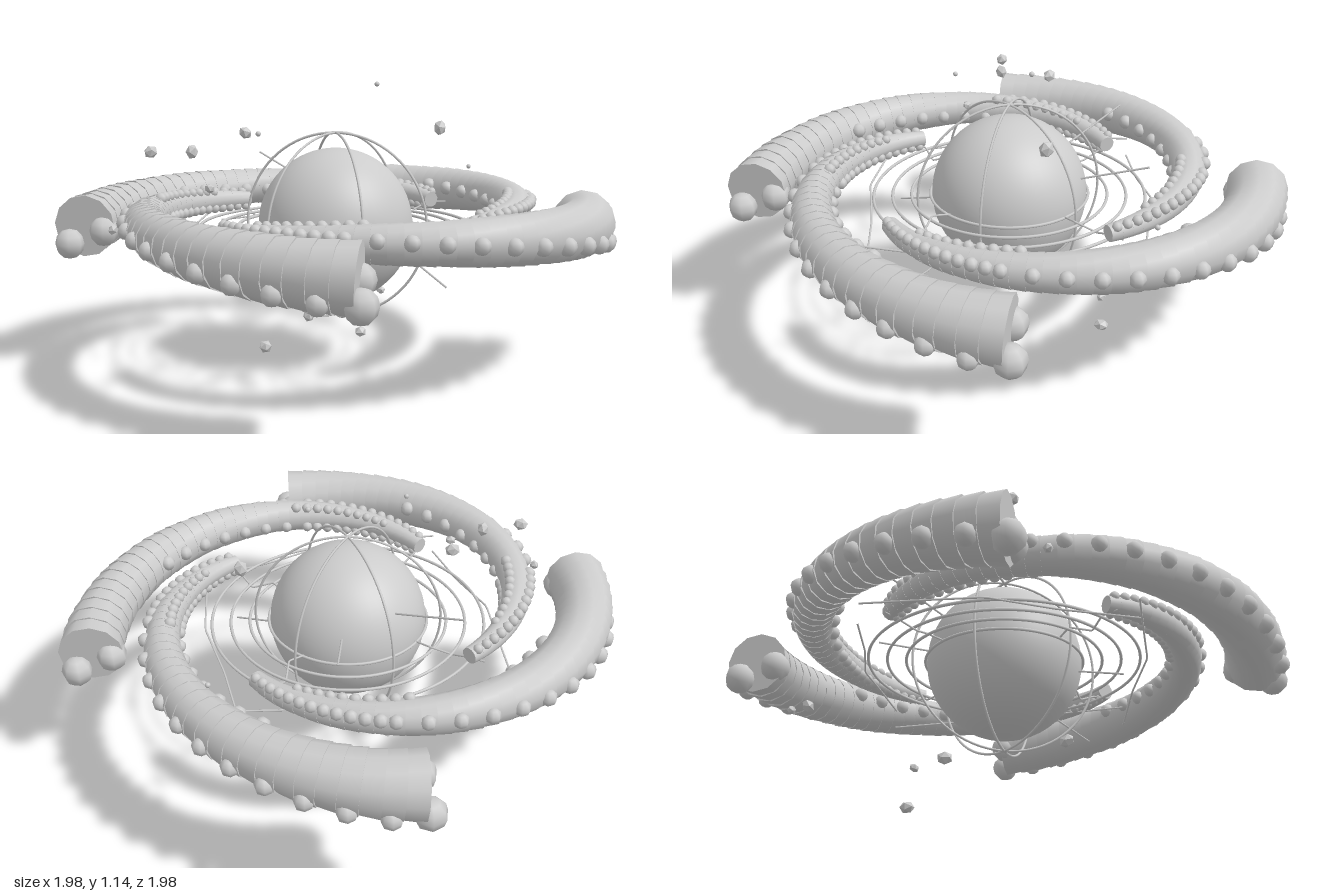
import * as THREE from 'three';

const CY = 0.585, CZ = -0.012; // height and depth of the core
const ARM_SWEEP = 2.36, SEGMENTS = 36;
const mat = new THREE.MeshStandardMaterial({ color: 0xcccccc });
const V = (x, y, z) => new THREE.Vector3(x, y, z);
const UP = V(0, 1, 0);

function add(parent, name, geometry, position) {
  const mesh = new THREE.Mesh(geometry, mat);
  mesh.name = name;
  if (position) mesh.position.copy(position);
  parent.add(mesh);
  return mesh;
}

function group(parent, name) {
  const g = new THREE.Group();
  g.name = name;
  parent.add(g);
  return g;
}

// Straight-sided thin wire through a few points
function wire(parent, name, points, radius = 0.004) {
  const path = new THREE.CurvePath();
  for (let i = 1; i < points.length; i++) path.add(new THREE.LineCurve3(points[i - 1], points[i]));
  add(parent, name, new THREE.TubeGeometry(path, points.length * 6, radius, 5));
}

// Centre line of a spiral arm, t from inner tip to outer end
function armPoint(t) {
  const r = 0.57 + 0.42 * t, a = ARM_SWEEP * t;
  const y = THREE.MathUtils.lerp(0.63, 0.595, t) + 0.035 * Math.sin(Math.PI * t);
  return V(r * Math.cos(a), y, -r * Math.sin(a));
}
const armRadius = (t) => 0.035 + 0.085 * t;

function buildArm() {
  const arm = new THREE.Group();
  arm.name = 'spiralArm';
  const blob = new THREE.SphereGeometry(1, 7, 6);

  for (let i = 0; i < SEGMENTS; i++) {
    const t = i / (SEGMENTS - 1), r = armRadius(t);
    const p = armPoint(t);
    const tangent = armPoint(t + 0.01).sub(armPoint(t - 0.01)).normalize();
    const step = armPoint(t + 0.5 / SEGMENTS).distanceTo(armPoint(t - 0.5 / SEGMENTS));

    // Stacked drum segments, slightly flared
    const drum = add(arm, 'armSegment', new THREE.CylinderGeometry(r * 1.03, r * 0.95, step * 1.3, 12), p);
    drum.quaternion.setFromUnitVectors(UP, tangent);

    // Rows of bumps winding slowly around the arm
    const out = tangent.clone().cross(UP).normalize();
    const bump = (phi, size) => {
      const pos = p.clone().addScaledVector(out, r * 0.95 * Math.cos(phi));
      pos.y += r * 0.95 * Math.sin(phi);
      add(arm, 'armBump', blob, pos).scale.setScalar(size);
    };
    const phi = 1 - 1.7 * t, size = 0.02 + 0.02 * t;
    if (t < 0.35 || i % 2 === 0) {
      bump(phi, size);
      if (t < 0.8) bump(phi + Math.PI, size * 0.9);
    }
    if (t > 0.1 && t < 0.4) bump(2.1, size * 0.85);
  }

  // Two large knobs on the outer end
  const end = armPoint(1), radial = V(end.x, 0, end.z).normalize();
  const along = armPoint(1.01).sub(armPoint(0.99)).normalize();
  for (const [o, y] of [[0.06, -0.07], [-0.075, -0.02]]) {
    const pos = end.clone().addScaledVector(radial, o).addScaledVector(along, 0.045);
    pos.y += y;
    add(arm, 'endKnob', blob, pos).scale.setScalar(0.06);
  }
  return arm;
}

export function createModel() {
  const model = new THREE.Group();
  model.name = 'spiralSystem';

  // Central sphere
  add(model, 'core', new THREE.SphereGeometry(0.308, 48, 32), V(0, CY, CZ));

  // Three upright hoops around the core
  const hoops = group(model, 'uprightHoops');
  for (let i = 0; i < 3; i++) {
    const hoop = add(hoops, 'hoop', new THREE.TorusGeometry(0.369, 0.005, 6, 72), V(0, CY, CZ));
    hoop.rotation.y = (i * Math.PI) / 3;
  }

  // Flat orbit rings
  const rings = group(model, 'orbitRings');
  for (const r of [0.314, 0.39, 0.465, 0.54]) {
    const ring = add(rings, 'orbitRing', new THREE.TorusGeometry(r, 0.006, 6, 96), V(0, CY, CZ));
    ring.rotation.x = Math.PI / 2;
  }

  // Four spiral arms
  const arms = group(model, 'spiralArms');
  for (let i = 0; i < 4; i++) {
    const arm = buildArm();
    arm.rotation.y = (i * Math.PI) / 2;
    arms.add(arm);
  }

  // Jagged threads between and toward the arms
  const threads = group(model, 'threads');
  for (let i = 0; i < 4; i++) {
    const quarter = group(threads, 'threadQuarter');
    quarter.position.z = CZ;
    quarter.rotation.y = (i * Math.PI) / 2;
    wire(quarter, 'outerThread', [
      V(-0.71, 0.6, 0), V(-0.55, 0.59, 0.21), V(-0.43, 0.58, 0.37), V(-0.22, 0.55, 0.52), V(0, 0.52, 0.71)]);
    wire(quarter, 'radialThread', [
      V(0, CY, 0.3), V(-0.02, 0.6, 0.38), V(0.02, 0.57, 0.46), V(0, 0.6, 0.53), V(0.01, 0.6, 0.6)]);
  }

  // Straight spikes leaving the core
  const spikes = group(model, 'spikes');
  for (const [a, b] of [
    [[0.26, 0.685, -0.15], [0.49, 0.77, -0.28]],
    [[-0.25, 0.52, 0.15], [-0.44, 0.46, 0.2]],
    [[0.085, 0.5, 0.27], [0.045, 0.405, 0.52]],
    [[0.075, 0.74, -0.27], [0.09, 0.83, -0.56]],
  ]) wire(spikes, 'spike', [V(...a), V(...b)]);

  // Floating rocks: x, y, z, size
  const rocks = group(model, 'rocks');
  const rockGeometry = new THREE.IcosahedronGeometry(1, 0);
  const rockMat = new THREE.MeshStandardMaterial({ color: 0xcccccc, flatShading: true });
  [
    [-0.435, 0.885, -0.37, 0.03], [-0.15, 0.94, -0.38, 0.03], [-0.55, 0.885, -0.48, 0.03],
    [-0.36, 0.15, -0.04, 0.03], [0.41, 0.225, -0.13, 0.022], [0.405, 0.96, 0.19, 0.033],
    [0.355, 0.032, -0.2, 0.031], [0.075, 0.15, -0.245, 0.031], [-0.48, 0.76, -0.21, 0.022],
    [0.65, 0.465, -0.5, 0.03], [0.71, 0.455, -0.54, 0.022], [-0.73, 0.6, -0.49, 0.022],
  ].forEach(([x, y, z, s], i) => {
    const rock = add(rocks, 'rock', rockGeometry, V(x, y, z));
    rock.material = rockMat;
    rock.scale.set(s * 0.85, s, s * 0.8);
    rock.rotation.set(i * 1.3, i * 2.1, i * 0.7);
  });

  // Tiny satellites
  const dot = new THREE.SphereGeometry(0.01, 10, 8);
  for (const [x, y, z] of [[0.18, 1.14, 0.045], [-0.37, 0.97, -0.055], [0.8, 0.755, 0.045]]) {
    add(model, 'satellite', dot, V(x, y, z));
  }
  return model;
}
